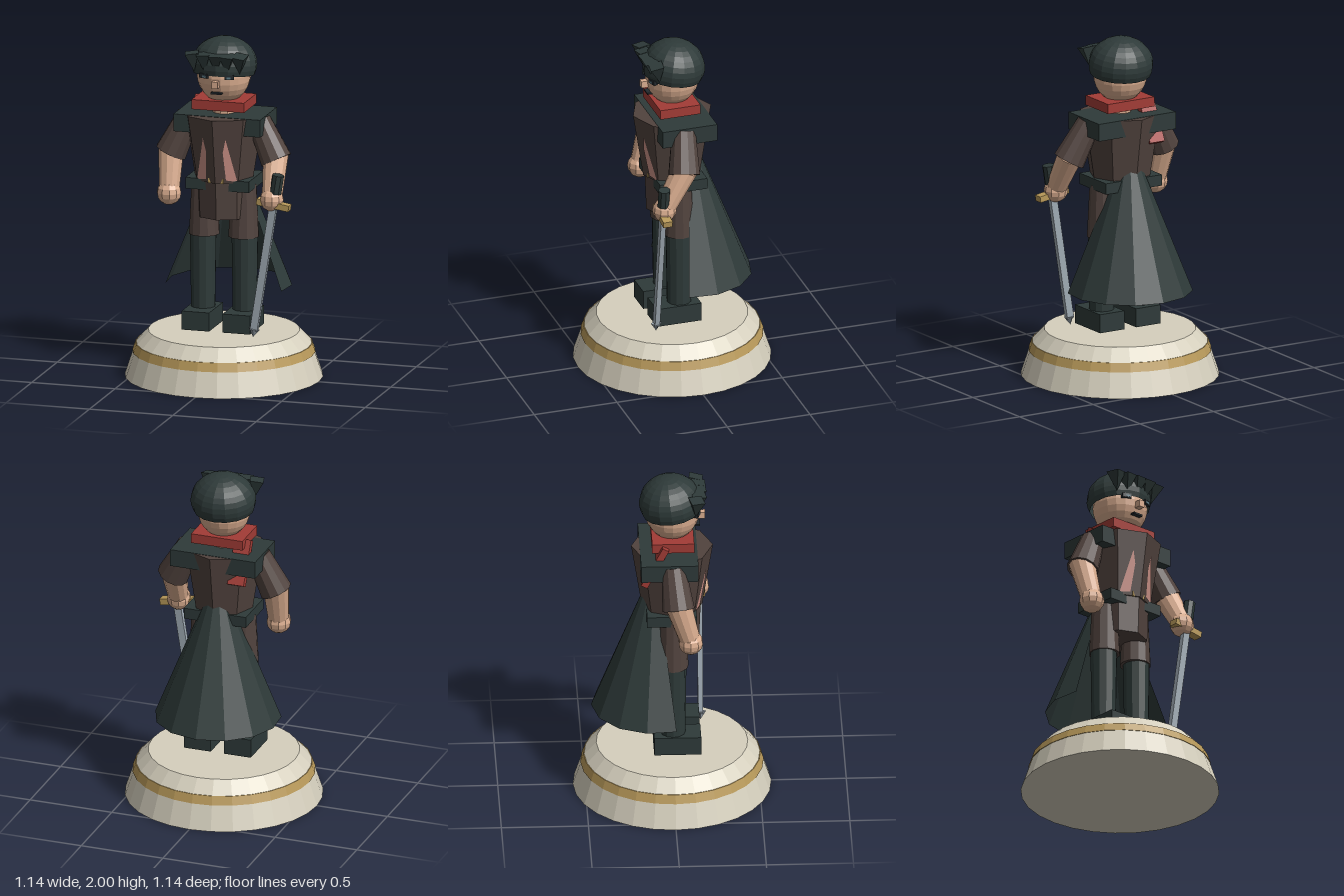
import * as THREE from 'three';

const mat = (name, color) => Object.assign(new THREE.MeshStandardMaterial({ color }), { name });

export function createModel() {
  const model = new THREE.Group();
  model.name = 'swordsmanFigure';
  const ivory = mat('ivory', 0xd6d0be), gold = mat('gold', 0xb8995a), teal = mat('darkTeal', 0x2e3a39);
  const brown = mat('brown', 0x51433e), skin = mat('skin', 0xdbae90), red = mat('red', 0xa23c36);
  const pink = mat('pink', 0xd0958a), steel = mat('steel', 0xa0abb4), ink = mat('ink', 0x232a2e);
  const iris = mat('iris', 0x5f7d88);
  const cape = mat('capeTeal', 0x2e3a39);
  cape.side = THREE.DoubleSide;

  // Adds a faceted mesh
  function add(name, geo, material, pos = [0, 0, 0], parent = model) {
    const g = geo.index ? geo.toNonIndexed() : geo;
    g.computeVertexNormals();
    const m = new THREE.Mesh(g, material);
    m.name = name;
    m.position.set(...pos);
    parent.add(m);
    return m;
  }
  const box = (name, material, x0, x1, y0, y1, z0, z1) =>
    add(name, new THREE.BoxGeometry(x1 - x0, y1 - y0, z1 - z0), material,
      [(x0 + x1) / 2, (y0 + y1) / 2, (z0 + z1) / 2]);
  const drum = (name, material, rTop, rBottom, y0, y1, sides, x = 0, z = 0) =>
    add(name, new THREE.CylinderGeometry(rTop, rBottom, y1 - y0, sides), material, [x, (y0 + y1) / 2, z]);
  // Tapered limb between two points
  function limb(name, material, a, b, ra, rb, sides = 12) {
    const A = new THREE.Vector3(...a), B = new THREE.Vector3(...b), d = A.clone().sub(B);
    const m = add(name, new THREE.CylinderGeometry(ra, rb, d.length(), sides), material,
      A.add(B).multiplyScalar(0.5).toArray());
    m.quaternion.setFromUnitVectors(new THREE.Vector3(0, 1, 0), d.normalize());
  }

  // Round plinth with gold band
  drum('plinth', ivory, 0.505, 0.57, 0, 0.195, 28);
  drum('plinthBand', gold, 0.508, 0.526, 0.145, 0.196, 28);
  drum('plinthTop', ivory, 0.435, 0.505, 0.195, 0.27, 28);

  // Boots and thighs
  for (const s of [-1, 1]) {
    const x = s * 0.1225;
    box('foot', teal, x - 0.0825, x + 0.0825, 0.29, 0.4, -0.11, 0.16);
    drum('bootShaft', teal, 0.078, 0.071, 0.39, 0.86, 12, s * 0.125);
    drum('thigh', brown, 0.075, 0.09, 0.83, 1.14, 12, s * 0.118);
  }

  // Body
  drum('torso', brown, 0.235, 0.174, 1.17, 1.555, 8);
  drum('tunicSkirt', brown, 0.165, 0.156, 0.95, 1.18, 8);
  box('belt', teal, -0.19, 0.19, 1.12, 1.185, -0.15, 0.135);
  box('buckle', gold, -0.045, 0.045, 1.17, 1.198, 0.12, 0.162);
  box('shoulderMantle', teal, -0.26, 0.26, 1.455, 1.557, -0.187, 0.142);

  // Lapels laid on the two front facets of the torso
  const lapelPoints = [[0.068, 1.44], [0.05, 1.36], [0.06, 1.19], [0.12, 1.18], [0.088, 1.34]];
  for (const s of [-1, 1]) {
    const shape = new THREE.Shape(lapelPoints.map(([x, y]) => new THREE.Vector2(s * x, y)));
    const geo = new THREE.ShapeGeometry(shape);
    const p = geo.attributes.position;
    for (let i = 0; i < p.count; i++) {
      const r = 0.174 + 0.061 * (p.getY(i) - 1.17) / 0.385;
      p.setZ(i, r - Math.abs(p.getX(i)) * 0.4142 + 0.005);
    }
    add('lapel', geo, pink);
  }

  // Cape: part of an open cone, wrapped around the back
  add('cape', new THREE.ConeGeometry(0.365, 0.91, 8, 1, true, 0.4 * Math.PI, 1.2 * Math.PI), cape, [0, 0.975, -0.1]);

  // Arms
  limb('rightUpperArm', brown, [-0.21, 1.52, 0], [-0.31, 1.3, 0.025], 0.07, 0.093);
  limb('rightForearm', skin, [-0.31, 1.34, 0.02], [-0.3, 1.1, 0.09], 0.077, 0.06);
  add('rightHand', new THREE.SphereGeometry(0.072, 10, 8), skin, [-0.3, 1.08, 0.095]);
  limb('leftUpperArm', brown, [0.21, 1.52, 0], [0.325, 1.3, 0.035], 0.07, 0.093);
  limb('leftForearm', skin, [0.32, 1.33, 0.03], [0.335, 1.12, 0.15], 0.075, 0.06);
  add('leftHand', new THREE.SphereGeometry(0.07, 10, 8), skin, [0.335, 1.1, 0.158]);

  // Sword held point down
  const sword = new THREE.Group();
  sword.name = 'sword';
  sword.position.set(0.37, 1.195, 0.173);
  sword.rotation.z = -0.155;
  model.add(sword);
  add('grip', new THREE.CylinderGeometry(0.035, 0.035, 0.11, 8), teal, [0, 0, 0], sword);
  add('guard', new THREE.BoxGeometry(0.195, 0.036, 0.055), gold, [0, -0.122, 0], sword);
  add('blade', new THREE.BoxGeometry(0.044, 0.75, 0.03), steel, [0, -0.51, 0], sword);
  const tip = add('bladeTip', new THREE.ConeGeometry(0.032, 0.05, 4), steel, [0, -0.9, 0], sword);
  tip.rotation.x = Math.PI;

  // Neck and scarf
  drum('neck', skin, 0.065, 0.065, 1.54, 1.66, 10);
  box('scarf', red, -0.157, 0.157, 1.588, 1.645, -0.12, 0.122);
  const tail = add('scarfTail', new THREE.BoxGeometry(0.1, 0.27, 0.04), red, [-0.138, 1.505, -0.105]);
  tail.rotation.x = 0.48;

  // Head and face
  add('head', new THREE.SphereGeometry(1, 18, 14).scale(0.156, 0.172, 0.158), skin, [0, 1.785, 0]);
  box('nose', skin, -0.018, 0.018, 1.735, 1.775, 0.13, 0.19);
  box('mouth', ink, -0.032, 0.032, 1.694, 1.704, 0.12, 0.16);
  for (const s of [-1, 1]) {
    const eye = add('eye', new THREE.BoxGeometry(0.055, 0.026, 0.04), ink, [s * 0.073, 1.797, 0.133]);
    eye.rotation.y = s * 0.3;
    const pupil = add('iris', new THREE.BoxGeometry(0.024, 0.012, 0.009), iris, [s * 0.073, 1.794, 0.152]);
    pupil.rotation.y = s * 0.3;
  }

  // Hair cap, tilted up at the front
  const cap = add('hair', new THREE.SphereGeometry(1, 16, 10, 0, Math.PI * 2, 0, Math.PI * 0.62)
    .scale(0.19, 0.16, 0.18), cape, [0, 1.84, -0.01]);
  cap.rotation.x = -0.12;

  // Fringe of downward spikes
  [[-0.145, 0.133], [-0.075, 0.145], [0, 0.148], [0.065, 0.145], [0.135, 0.13]].forEach(([x, z], i) => {
    const spike = add('fringeSpike', new THREE.ConeGeometry(0.056, 0.115, 4), teal, [x, 1.87, z]);
    spike.rotation.set(Math.PI + 0.12, 0.5 + i * 0.1, x * 0.9);
  });

  return model;
}
